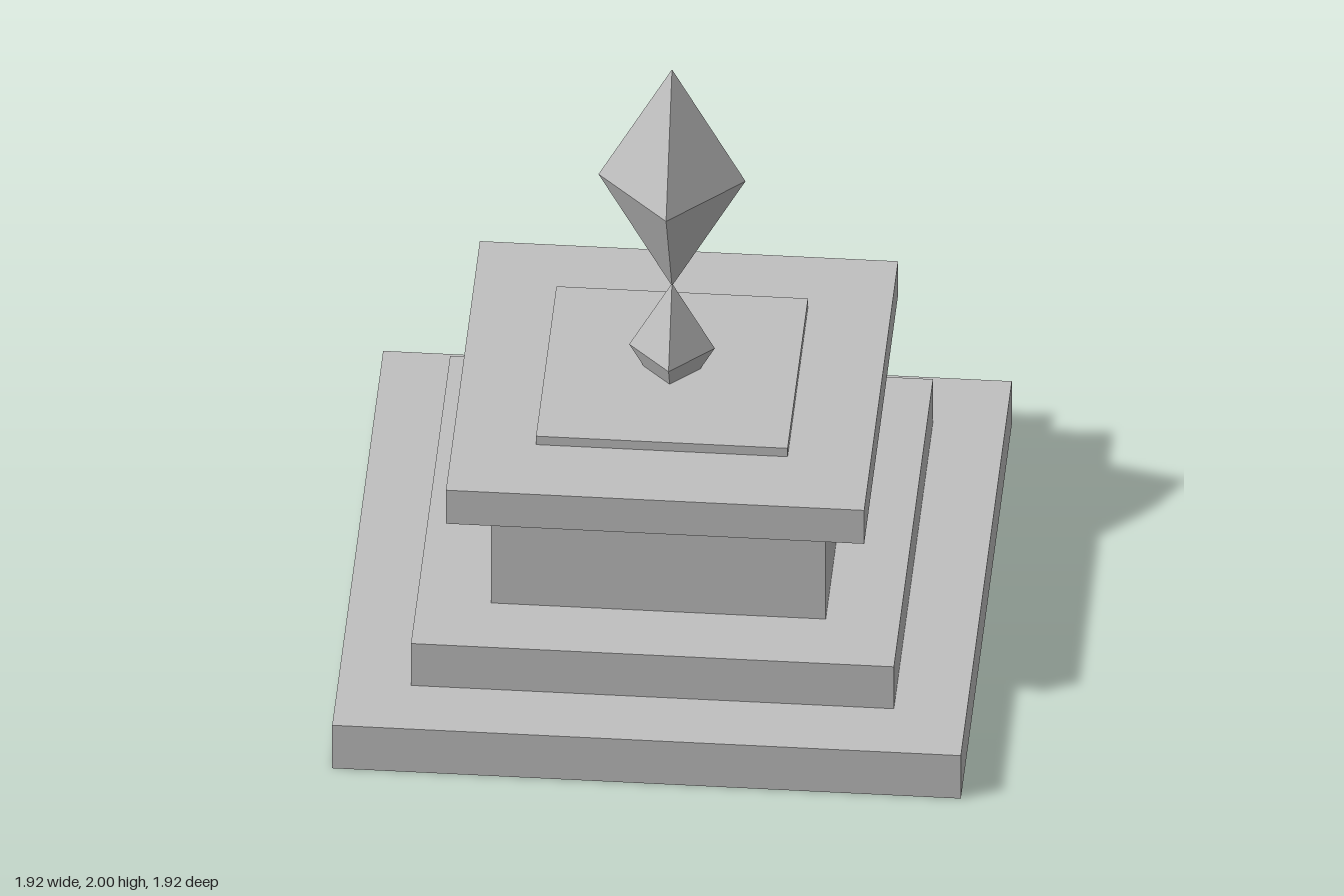
import * as THREE from 'three';

const stone = new THREE.MeshStandardMaterial({ color: 0xc0c0c0, flatShading: true });
stone.name = 'grey stone';

export function createModel() {
  const group = new THREE.Group();
  group.name = 'monument';

  const add = (name, geometry, y) => {
    const mesh = new THREE.Mesh(geometry, stone);
    mesh.name = name;
    mesh.position.y = y;
    group.add(mesh);
  };

  // Square stepped pedestal: name, half width, bottom, top
  const tiers = [
    ['basePlinth', 0.962, 0, 0.163],
    ['upperStep', 0.739, 0.163, 0.322],
    ['pedestalBlock', 0.512, 0.322, 0.71],
    ['capSlab', 0.64, 0.71, 0.837],
    ['topPlate', 0.385, 0.837, 0.869],
  ];
  for (const [name, half, y0, y1] of tiers) {
    add(name, new THREE.BoxGeometry(half * 2, y1 - y0, half * 2), (y0 + y1) / 2);
  }

  // Two stretched octahedra, the small one partly sunk into the plate
  const crystal = (name, radius, halfHeight, y) =>
    add(name, new THREE.OctahedronGeometry(1).scale(radius, halfHeight, radius), y);
  crystal('lowerCrystal', 0.131, 0.239, 0.949);
  crystal('upperCrystal', 0.225, 0.411, 1.589);

  return group;
}
